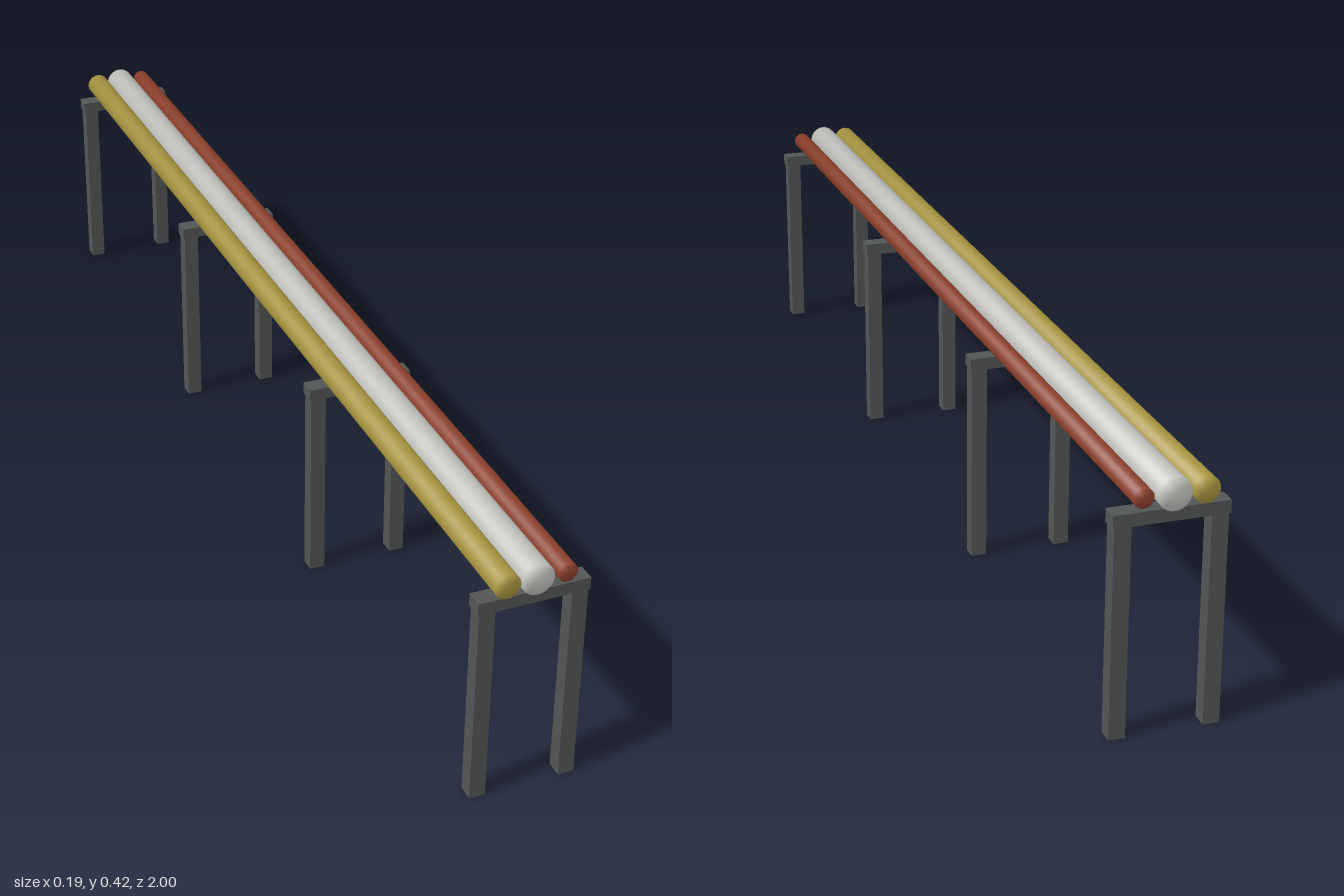
import * as THREE from 'three';

const mat = (name, color) => new THREE.MeshStandardMaterial({ name, color });

// Solid round bar along z, with normals blended between the wall and the flat ends
function pipeGeometry(radius, length) {
  const geo = new THREE.CylinderGeometry(radius, radius, length, 32);
  const pos = geo.attributes.position;
  const n = new THREE.Vector3();
  for (let i = 0; i < pos.count; i++) {
    n.set(pos.getX(i) / radius, Math.sign(pos.getY(i)), pos.getZ(i) / radius).normalize();
    geo.attributes.normal.setXYZ(i, n.x, n.y, n.z);
  }
  return geo.rotateX(Math.PI / 2);
}

export function createModel() {
  const model = new THREE.Group();
  model.name = 'pipeRack';
  const steel = mat('darkSteel', 0x525655);

  const add = (parent, name, geo, material, x, y, z) => {
    const mesh = new THREE.Mesh(geo, material);
    mesh.name = name;
    mesh.position.set(x, y, z);
    parent.add(mesh);
  };

  // Four portal supports: two posts and a crossbeam each
  const postGeo = new THREE.BoxGeometry(0.027, 0.35, 0.027);
  const beamGeo = new THREE.BoxGeometry(0.185, 0.021, 0.03);
  for (let i = 0; i < 4; i++) {
    const support = new THREE.Group();
    support.name = `support${i + 1}`;
    support.position.z = 0.978 - i * 0.652;
    add(support, 'leftPost', postGeo, steel, 0.0765, 0.175, 0);
    add(support, 'rightPost', postGeo, steel, -0.0765, 0.175, 0);
    add(support, 'crossbeam', beamGeo, steel, 0, 0.3595, 0);
    model.add(support);
  }

  // Three parallel pipes of different diameters
  const pipes = [
    ['yellowPipe', -0.0495, 0.0215, mat('mustardYellow', 0xb39f45)],
    ['whitePipe', 0, 0.027, mat('paleGrey', 0xcfcfcb)],
    ['redPipe', 0.0485, 0.0163, mat('rustRed', 0x96452f)],
  ];
  for (const [name, x, radius, material] of pipes) {
    add(model, name, pipeGeometry(radius, 2), material, x, 0.395, 0);
  }
  return model;
}
